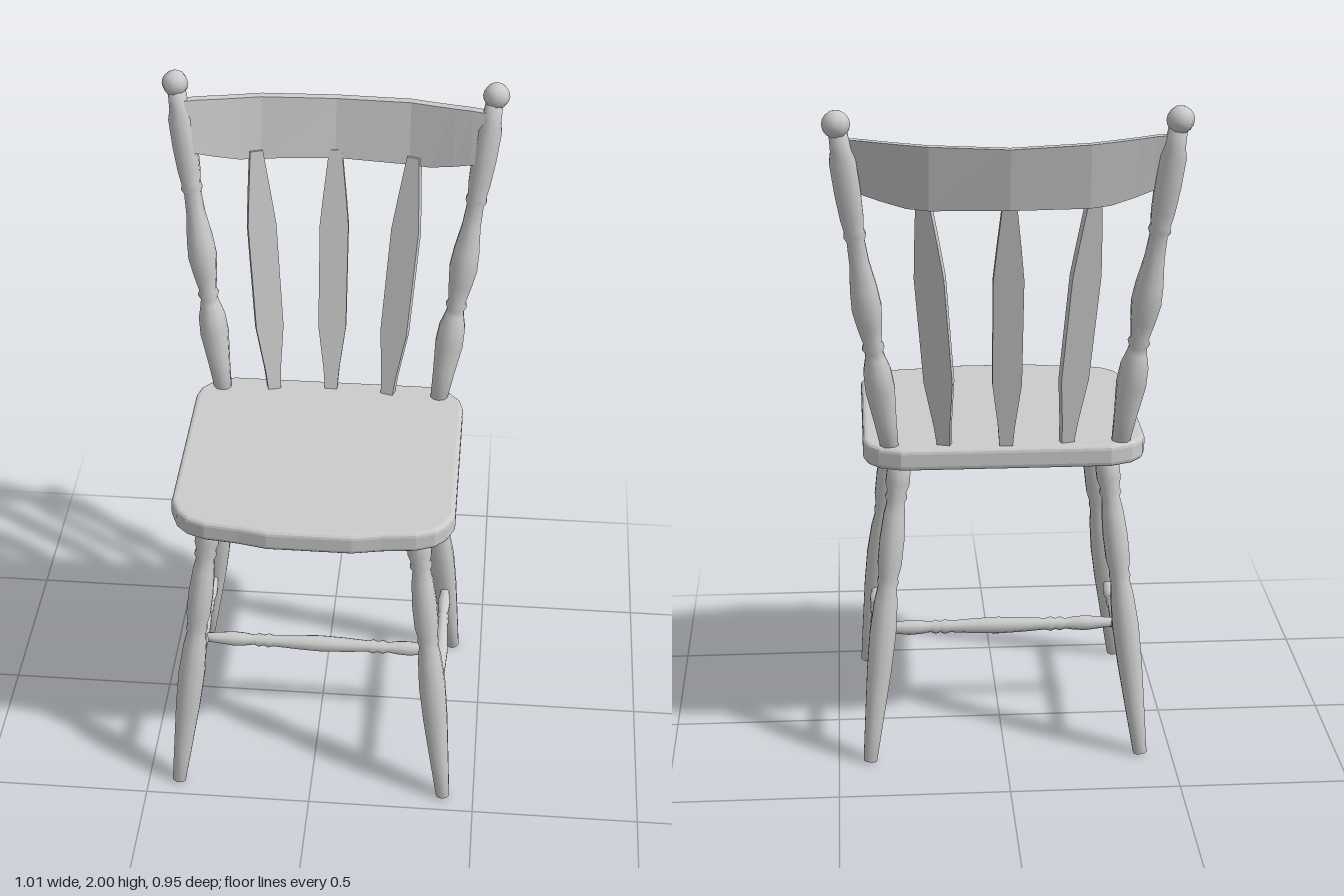
import * as THREE from 'three';

const material = new THREE.MeshStandardMaterial({ color: 0xcccccc });
const v = (x, y, z) => new THREE.Vector3(x, y, z);

function addMesh(parent, name, geometry, mat = material) {
  const mesh = new THREE.Mesh(geometry, mat);
  mesh.name = name;
  parent.add(mesh);
  return mesh;
}

// Turned part from a to b; profile is [fraction along the length, radius]
function turned(parent, name, a, b, profile, sides = 10) {
  const axis = b.clone().sub(a), length = axis.length();
  const points = [[0, 0], ...profile, [1, 0]].map(([t, r]) => new THREE.Vector2(r, t * length));
  const mesh = addMesh(parent, name, new THREE.LatheGeometry(points, sides));
  mesh.position.copy(a);
  mesh.quaternion.setFromUnitVectors(v(0, 1, 0), axis.normalize());
  return mesh;
}

const mirrored = (half) => [...half, ...half.slice(0, -1).reverse().map(([t, r]) => [1 - t, r])];

const LEG = [[0, 0.021], [0.12, 0.028], [0.3, 0.038], [0.42, 0.041], [0.52, 0.036], [0.57, 0.029],
  [0.585, 0.033], [0.6, 0.03], [0.64, 0.037], [0.72, 0.038], [0.8, 0.033], [0.84, 0.027], [0.855, 0.034],
  [0.87, 0.029], [0.9, 0.037], [0.94, 0.036], [1, 0.027]];
const POST = [[0, 0.026], [0.1, 0.034], [0.2, 0.044], [0.26, 0.041], [0.3, 0.03], [0.32, 0.026], [0.335, 0.033],
  [0.35, 0.027], [0.4, 0.036], [0.46, 0.044], [0.52, 0.04], [0.6, 0.029], [0.67, 0.026], [0.685, 0.033],
  [0.7, 0.029], [0.74, 0.034], [0.82, 0.038], [0.91, 0.038], [0.94, 0.03], [1, 0.026]];
const STRETCHER = mirrored([[0, 0.014], [0.06, 0.017], [0.13, 0.023], [0.18, 0.021], [0.22, 0.016],
  [0.24, 0.022], [0.26, 0.017], [0.28, 0.023], [0.3, 0.018], [0.4, 0.023], [0.5, 0.026]]);

// Seat slab with rounded corners, a shaped front edge and a soft rim
function seatGeometry() {
  const half = [[0.125, 0.47], [0.21, 0.452], [0.31, 0.44], [0.36, 0.42], [0.39, 0.39], [0.41, 0.34],
    [0.41, -0.22], [0.4, -0.26], [0.37, -0.295], [0.31, -0.32]];
  const bevel = 0.014;
  const inset = ([x, z]) => new THREE.Vector2(x * (1 - bevel / 0.41), -(0.075 + (z - 0.075) * (1 - bevel / 0.395)));
  const outline = [...half, ...half.slice().reverse().map(([x, z]) => [-x, z])].map(inset);
  const geometry = new THREE.ExtrudeGeometry(new THREE.Shape(outline), {
    depth: 0.065 - 2 * bevel, bevelEnabled: true, bevelSize: bevel, bevelThickness: bevel, bevelSegments: 3,
  });
  return geometry.rotateX(-Math.PI / 2).translate(0, 0.935 + bevel, 0);
}

// Flat paddle-shaped back spindle standing on its base
function spindleGeometry(length) {
  const half = [[0.018, 0], [0.024, 0.1], [0.042, 0.28], [0.043, 0.7], [0.034, 0.82], [0.019, 1]];
  const outline = [...half, ...half.slice().reverse().map(([x, t]) => [-x, t])]
    .map(([x, t]) => new THREE.Vector2(x, t * length));
  return new THREE.ExtrudeGeometry(new THREE.Shape(outline), { depth: 0.024, bevelEnabled: false })
    .translate(0, 0, -0.012);
}

// Curved, backward-leaning rail lofted through four-cornered sections: [x, bottom, top, front z]
function crestGeometry() {
  const half = [[0.44, 1.765, 1.917, -0.364], [0.4, 1.76, 1.917, -0.376], [0.35, 1.745, 1.914, -0.391],
    [0.28, 1.728, 1.911, -0.412], [0.22, 1.725, 1.909, -0.43], [0, 1.727, 1.903, -0.45]];
  const stations = [...half.map(([x, ...r]) => [-x, ...r]), ...half.slice(0, -1).reverse()];
  const sections = stations.map(([x, low, high, z]) => [
    v(x, low, z + 0.035), v(x, high, z), v(x, high, z - 0.026), v(x, low, z + 0.009)]);
  const corners = [];
  const quad = (a, b, c, d) => corners.push(a, b, c, a, c, d);
  for (let i = 0; i < sections.length - 1; i++) {
    const s = sections[i], n = sections[i + 1];
    for (let k = 0; k < 4; k++) quad(s[k], n[k], n[(k + 1) % 4], s[(k + 1) % 4]);
  }
  quad(...sections[0]);
  quad(...sections[sections.length - 1].slice().reverse());
  const geometry = new THREE.BufferGeometry().setFromPoints(corners);
  geometry.computeVertexNormals();
  return geometry;
}

export function createModel() {
  const chair = new THREE.Group();
  chair.name = 'chair';

  addMesh(chair, 'seat', seatGeometry());

  for (const [side, s] of [['left', 1], ['right', -1]]) {
    // Splayed legs
    turned(chair, side + 'FrontLeg', v(s * 0.407, 0, 0.437), v(s * 0.3, 0.945, 0.317), LEG);
    turned(chair, side + 'BackLeg', v(s * 0.407, 0, -0.283), v(s * 0.3, 0.945, -0.167), LEG);
    // Side stretcher between front and back leg
    turned(chair, side + 'Stretcher', v(s * 0.376, 0.27, 0.395), v(s * 0.376, 0.27, -0.245),
      STRETCHER.map(([t, r]) => [t, r * 0.88]));
    // Back post with ball finial
    turned(chair, side + 'BackPost', v(s * 0.332, 0.985, -0.264), v(s * 0.462, 1.945, -0.388), POST);
    const ball = addMesh(chair, side + 'Finial', new THREE.SphereGeometry(0.039, 8, 8));
    ball.position.set(s * 0.466, 1.961, -0.392);
  }

  turned(chair, 'crossStretcher', v(-0.375, 0.27, 0.075), v(0.375, 0.27, 0.075), STRETCHER);

  addMesh(chair, 'crestRail', crestGeometry());

  // Fanned back spindles, turned to follow the curve of the rail
  for (const [name, s] of [['leftSpindle', 1], ['centreSpindle', 0], ['rightSpindle', -1]]) {
    const base = v(s * 0.175, 0.985, s ? -0.268 : -0.284);
    const axis = v(s * 0.234, 1.75, s ? -0.398 : -0.428).sub(base);
    const spindle = addMesh(chair, name, spindleGeometry(axis.length()));
    const up = axis.normalize();
    const across = v(1, 0, s * 0.3);
    const facing = across.clone().cross(up).normalize();
    across.crossVectors(up, facing);
    spindle.quaternion.setFromRotationMatrix(new THREE.Matrix4().makeBasis(across, up, facing));
    spindle.position.copy(base);
  }

  return chair;
}
